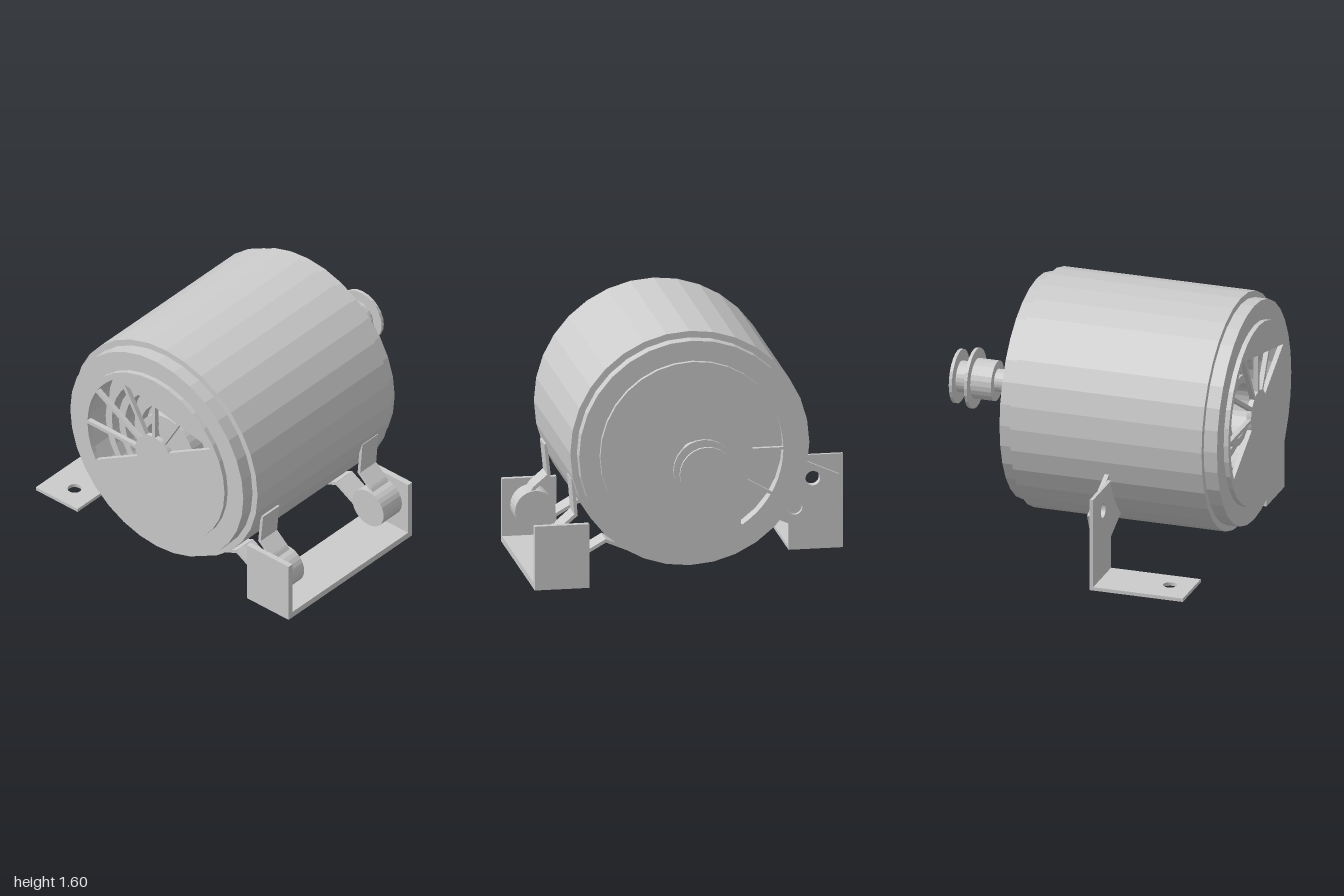
import * as THREE from 'three';

const CX = 0.055, CY = 0.86, SIDES = 32;
const flat = new THREE.MeshStandardMaterial({ color: 0xcccccc, flatShading: true });
const thin = new THREE.MeshStandardMaterial({ color: 0xcccccc, flatShading: true, side: THREE.DoubleSide });
const rad = THREE.MathUtils.degToRad;

function add(parent, name, geometry, x = 0, y = 0, z = 0, material = flat) {
  const mesh = new THREE.Mesh(geometry, material);
  mesh.name = name;
  mesh.position.set(x, y, z);
  parent.add(mesh);
  return mesh;
}

// Box given by its limits on each axis
function block(parent, name, x0, x1, y0, y1, z0, z1) {
  return add(parent, name, new THREE.BoxGeometry(x1 - x0, y1 - y0, z1 - z0),
    (x0 + x1) / 2, (y0 + y1) / 2, (z0 + z1) / 2);
}

// Solid disc or rod along z
function rod(parent, name, r, z0, z1, x, y, sides = 24) {
  const g = new THREE.CylinderGeometry(r, r, z1 - z0, sides).rotateX(Math.PI / 2);
  return add(parent, name, g, x, y, (z0 + z1) / 2);
}

// Profile of [radius, z] pairs turned about the motor axis
function turned(parent, name, profile, material = flat) {
  const g = new THREE.LatheGeometry(profile.map(p => new THREE.Vector2(...p)), SIDES).rotateX(Math.PI / 2);
  return add(parent, name, g, CX, CY, 0, material);
}

// Flat plate with holes, thickness along z
function plate(points, holes, depth) {
  const shape = new THREE.Shape(points.map(p => new THREE.Vector2(...p)));
  shape.holes.push(...holes);
  return new THREE.ExtrudeGeometry(shape, { depth, bevelEnabled: false, curveSegments: 16 });
}

function roundHole(x, y, r) {
  return new THREE.Path().absarc(x, y, r, 0, Math.PI * 2, true);
}

// Vent window between two spoke angles, with radius rules for its inner and outer edges
function ventWindow(a0, a1, inner, outer, gap = 0.012) {
  const pts = [], n = 6;
  const edge = (rule, t) => {
    const g = Math.asin(gap / rule(THREE.MathUtils.lerp(a0, a1, t)));
    const a = THREE.MathUtils.lerp(rad(a0) + g, rad(a1) - g, t);
    const r = rule(THREE.MathUtils.radToDeg(a));
    pts.push(new THREE.Vector2(r * Math.cos(a), r * Math.sin(a)));
  };
  for (let i = 0; i <= n; i++) edge(outer, i / n);
  for (let i = n; i >= 0; i--) edge(inner, i / n);
  return new THREE.Path(pts);
}

// Bent metal strip following [x, y] points
function strap(parent, name, path, z0, z1, t = 0.02) {
  const group = new THREE.Group();
  group.name = name;
  parent.add(group);
  for (let i = 1; i < path.length; i++) {
    const [x0, y0] = path[i - 1], [x1, y1] = path[i];
    const len = Math.hypot(x1 - x0, y1 - y0);
    const m = add(group, 'strapSegment', new THREE.BoxGeometry(len + t * 0.6, t, z1 - z0),
      (x0 + x1) / 2, (y0 + y1) / 2, (z0 + z1) / 2);
    m.rotation.z = Math.atan2(y1 - y0, x1 - x0);
  }
}

function buildMotor(parent) {
  // Stepped housing and its inner wall
  turned(parent, 'housing', [[0.57, -0.46], [0.695, -0.46], [0.695, -0.38], [0.735, -0.38],
    [0.735, 0.845], [0.695, 0.845], [0.695, 0.93], [0.57, 0.93]]);
  turned(parent, 'innerWall', [[0.57, -0.46], [0.57, 0.93]], thin);

  // Ringed windings behind the front vents
  const rings = [[0.57, 0.72]];
  for (const [r, z] of [[0.46, 0.84], [0.38, 0.81], [0.28, 0.78], [0.19, 0.84]]) {
    rings.push([r + 0.03, 0.72], [r + 0.03, z], [r - 0.02, z], [r - 0.02, 0.72]);
  }
  rings.push([0, 0.72]);
  turned(parent, 'windings', rings, thin);
  turned(parent, 'rearBulkhead', [[0, -0.36], [0.57, -0.36]], thin);

  // End caps with vent windows
  const rim = Array.from({ length: SIDES }, (_, i) => {
    const a = (i / SIDES) * Math.PI * 2;
    return [0.57 * Math.cos(a), 0.57 * Math.sin(a)];
  });
  const frontOuter = a => a > 120 ? 0.53 : Math.min(0.535, 0.37 / Math.cos(rad(a - 77.8)));
  const frontHoles = [30, 60, 90, 120, 150, 180].map(a => ventWindow(a, a + 30, () => 0.145, frontOuter));
  add(parent, 'frontCap', plate(rim, frontHoles, 0.03), CX, CY, 0.93);

  const rearInner = a => Math.min(0.552, 0.358 / Math.cos(rad(a - 188.8)));
  const rearHoles = [[139, 180], [180, 210], [210, 238]]
    .map(([a, b]) => ventWindow(a, b, rearInner, () => 0.555, 0.008));
  add(parent, 'rearCap', plate(rim, rearHoles, 0.03), CX, CY, -0.49);

  // Shaft and stepped pulley
  rod(parent, 'shaft', 0.07, -0.72, -0.4, CX, CY);
  rod(parent, 'pulleyHub', 0.125, -0.845, -0.71, CX, CY - 0.005);
  rod(parent, 'pulleyLargeFlange', 0.187, -0.862, -0.842, CX, CY - 0.005);
  rod(parent, 'pulleyNeck', 0.097, -0.95, -0.86, CX, CY - 0.005);
  rod(parent, 'pulleySmallFlange', 0.167, -0.965, -0.945, CX, CY - 0.005);
}

function buildFootBracket(parent) {
  // Foot plate lying flat, with a bolt hole
  const foot = plate([[-1, -0.835], [-0.665, -0.835], [-0.665, -0.24], [-1, -0.24]],
    [roundHole(-0.815, -0.69, 0.043)], 0.022).rotateX(-Math.PI / 2);
  add(parent, 'footPlate', foot, 0, 0.015, 0);

  // Upright plate
  add(parent, 'uprightPlate', plate([[-1, 0.015], [-0.665, 0.015], [-0.665, 0.605], [-1, 0.605]],
    [roundHole(-0.81, 0.465, 0.045)], 0.022), 0, 0, 0.24);

  // Slanted lug running into the housing
  add(parent, 'slantedLug', plate([[-0.97, 0.483], [-0.807, 0.122], [-0.37, 0.318], [-0.533, 0.679]],
    [roundHole(-0.81, 0.465, 0.045), roundHole(-0.7, 0.287, 0.045)], 0.028), 0, 0, 0.212);
}

function buildCradle(parent) {
  // U-shaped cradle
  block(parent, 'cradleBase', 0.665, 1, 0, 0.04, -0.335, 0.8);
  block(parent, 'cradleFrontWall', 0.665, 1, 0, 0.4, 0.765, 0.8);
  block(parent, 'cradleRearWall', 0.665, 1, 0, 0.4, -0.335, -0.298);

  // Round bushings, each held by two bent straps
  for (const [z0, z1, s0, s1, top] of [[0.6, 0.766, 0.618, 0.768, 0.64], [-0.3, -0.13, -0.292, -0.145, 0.67]]) {
    rod(parent, 'bushing', 0.125, z0, z1, 0.825, 0.235, 28);
    strap(parent, 'upperStrap', [[0.757, top], [0.738, 0.45], [0.825, 0.375], [0.85, 0.34]], s0, s1);
    strap(parent, 'lowerStrap', [[0.37, 0.2], [0.555, 0.278], [0.72, 0.185]], s0, s1);
  }
}

export function createModel() {
  const model = new THREE.Group();
  model.name = 'electricMotor';
  const parts = { motor: buildMotor, footBracket: buildFootBracket, cradle: buildCradle };
  for (const [name, build] of Object.entries(parts)) {
    const group = new THREE.Group();
    group.name = name;
    build(group);
    model.add(group);
  }
  return model;
}
